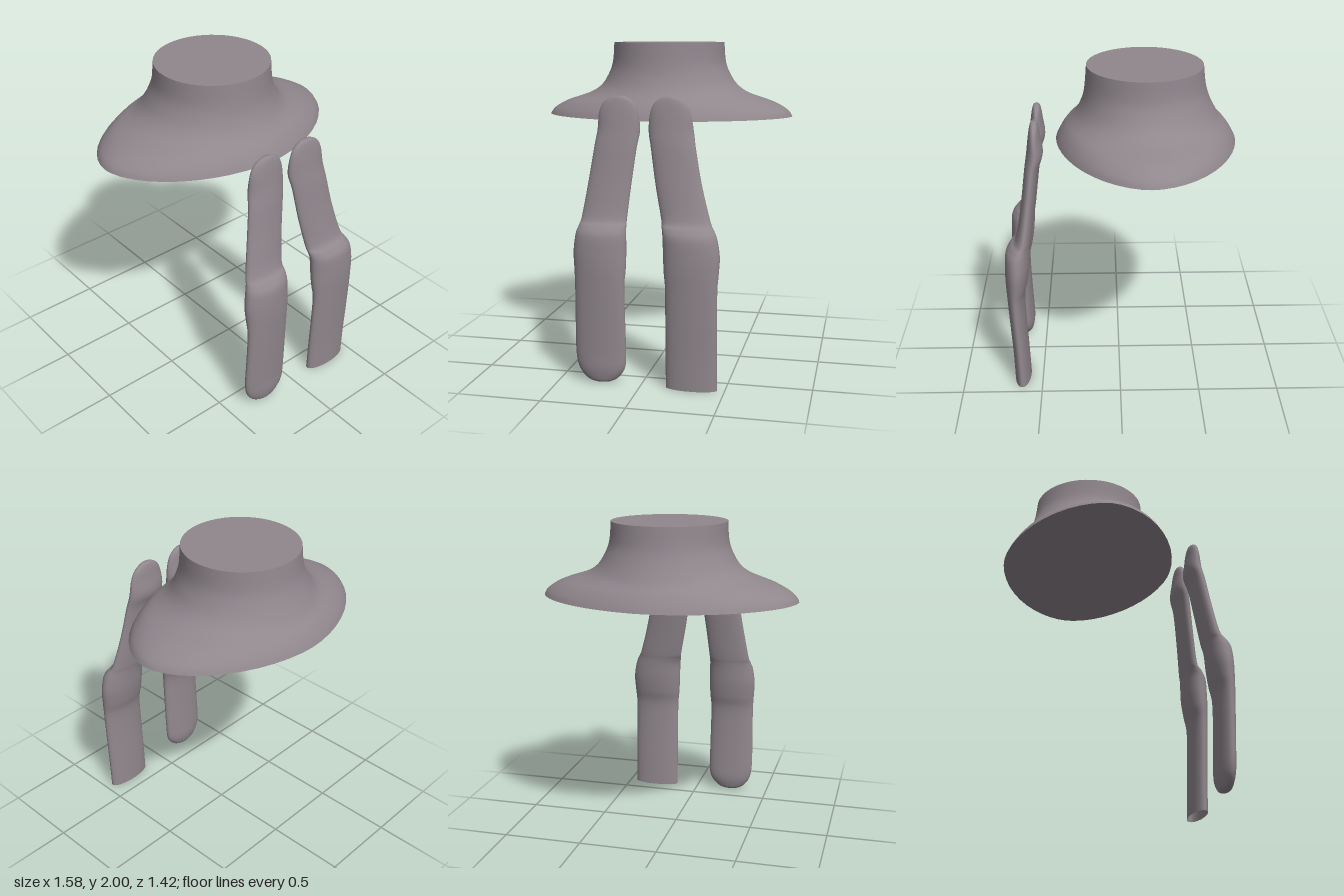
import * as THREE from 'three';

const SEGMENTS = 48;
const STEPS = 5;

// Catmull-Rom blend of whole cross-section rows
function smoothRows(rows) {
  const out = [];
  const at = (i) => rows[Math.min(Math.max(i, 0), rows.length - 1)];
  for (let i = 0; i < rows.length - 1; i++) {
    for (let s = 0; s < STEPS; s++) {
      const t = s / STEPS;
      out.push(at(i).map((b, k) => {
        const a = at(i - 1)[k], c = at(i + 1)[k], d = at(i + 2)[k];
        return 0.5 * (2 * b + (c - a) * t + (2 * a - 5 * b + 4 * c - d) * t * t
          + (3 * b - a - 3 * c + d) * t * t * t);
      }));
    }
  }
  out.push(rows[rows.length - 1]);
  return out;
}

// Ring of points for a row [y, minX, maxX, minZ, maxZ, exponent]
function ring([y, x0, x1, z0, z1, power = 2]) {
  const points = [];
  const bend = (v) => Math.sign(v) * Math.pow(Math.abs(v), 2 / power);
  for (let j = 0; j < SEGMENTS; j++) {
    const a = (j / SEGMENTS) * Math.PI * 2;
    points.push((x0 + x1) / 2 + bend(Math.cos(a)) * (x1 - x0) / 2, y,
      (z0 + z1) / 2 + bend(Math.sin(a)) * (z1 - z0) / 2);
  }
  return points;
}

function makeGeometry(positions, index) {
  const g = new THREE.BufferGeometry();
  g.setAttribute('position', new THREE.Float32BufferAttribute(positions, 3));
  g.setIndex(index);
  g.computeVertexNormals();
  return g;
}

// Smooth skin through rows listed from top to bottom
function loft(rows) {
  const sections = smoothRows(rows);
  const positions = sections.flatMap(ring);
  const index = [];
  for (let i = 0; i < sections.length - 1; i++) {
    for (let j = 0; j < SEGMENTS; j++) {
      const n = (j + 1) % SEGMENTS;
      const a = i * SEGMENTS + j, b = i * SEGMENTS + n;
      const c = a + SEGMENTS, d = b + SEGMENTS;
      index.push(a, b, c, b, d, c);
    }
  }
  return makeGeometry(positions, index);
}

// Flat disc closing one row
function cap(row, facesUp) {
  const positions = [...ring(row), (row[1] + row[2]) / 2, row[0], (row[3] + row[4]) / 2];
  const index = [];
  for (let j = 0; j < SEGMENTS; j++) {
    const n = (j + 1) % SEGMENTS;
    index.push(SEGMENTS, facesUp ? n : j, facesUp ? j : n);
  }
  return makeGeometry(positions, index);
}

// Flared body, from narrow round top to wide oval hem
const flareRows = [
  [2.0, -0.35, 0.35, -0.505, 0.195, 2],
  [1.88, -0.36, 0.36, -0.52, 0.205, 2],
  [1.8, -0.39, 0.39, -0.545, 0.22, 2],
  [1.73, -0.44, 0.44, -0.58, 0.25, 1.95],
  [1.68, -0.52, 0.52, -0.61, 0.285, 1.9],
  [1.63, -0.67, 0.67, -0.655, 0.33, 1.85],
  [1.58, -0.76, 0.76, -0.69, 0.365, 1.8],
  [1.54, -0.79, 0.79, -0.71, 0.385, 1.8],
];

// Legs: y with front-to-back extent, shared by both sides
const legDepth = [
  [1.7, 0.508, 0.512], [1.693, 0.49, 0.527], [1.66, 0.48, 0.537], [1.6, 0.472, 0.547],
  [1.5, 0.46, 0.56], [1.4, 0.488, 0.575], [1.2, 0.515, 0.6], [1.0, 0.54, 0.635],
  [0.95, 0.548, 0.675], [0.9, 0.553, 0.703], [0.8, 0.56, 0.71], [0.7, 0.575, 0.71],
  [0.6, 0.595, 0.705], [0.4, 0.593, 0.695], [0.2, 0.585, 0.685],
];

// Inner and outer distance from the middle at each of those heights
const rightWidth = [
  [0.153, 0.157], [0.11, 0.2], [0.065, 0.25], [0.04, 0.275],
  [0.03, 0.285], [0.045, 0.3], [0.07, 0.33], [0.09, 0.363],
  [0.09, 0.375], [0.087, 0.39], [0.085, 0.402], [0.087, 0.397],
  [0.094, 0.392], [0.092, 0.394], [0.09, 0.396],
];
const leftWidth = [
  [0.143, 0.147], [0.1, 0.19], [0.055, 0.24], [0.03, 0.27],
  [0.022, 0.288], [0.04, 0.305], [0.072, 0.345], [0.113, 0.4],
  [0.122, 0.425], [0.13, 0.448], [0.135, 0.465], [0.14, 0.461],
  [0.15, 0.455], [0.15, 0.455], [0.15, 0.455],
];

// Rounded foot on one leg, open cut on the other
const roundedFoot = [
  [0.1, -0.382, -0.097, 0.582, 0.682], [0.04, -0.345, -0.135, 0.592, 0.672],
  [0.012, -0.3, -0.18, 0.605, 0.66], [0.003, -0.242, -0.238, 0.63, 0.633],
];
const openCuff = [[0, 0.15, 0.455, 0.578, 0.68]];

export function createModel() {
  const model = new THREE.Group();
  model.name = 'model';
  const material = new THREE.MeshStandardMaterial({ color: 0x90878d, side: THREE.DoubleSide });
  material.name = 'warm grey';

  const add = (name, geometry, parent = model) => {
    const mesh = new THREE.Mesh(geometry, material);
    mesh.name = name;
    parent.add(mesh);
  };

  const flare = new THREE.Group();
  flare.name = 'flaredSkirt';
  model.add(flare);
  add('skirtSide', loft(flareRows), flare);
  add('skirtTop', cap(flareRows[0], true), flare);
  add('skirtUnderside', cap(flareRows[flareRows.length - 1], false), flare);

  const legRows = (widths, side) => legDepth.map(([y, z0, z1], i) => {
    const [inner, outer] = widths[i];
    return side > 0 ? [y, inner, outer, z0, z1] : [y, -outer, -inner, z0, z1];
  });
  add('rightLeg', loft([...legRows(rightWidth, -1), ...roundedFoot]));
  add('leftLeg', loft([...legRows(leftWidth, 1), ...openCuff]));

  return model;
}
